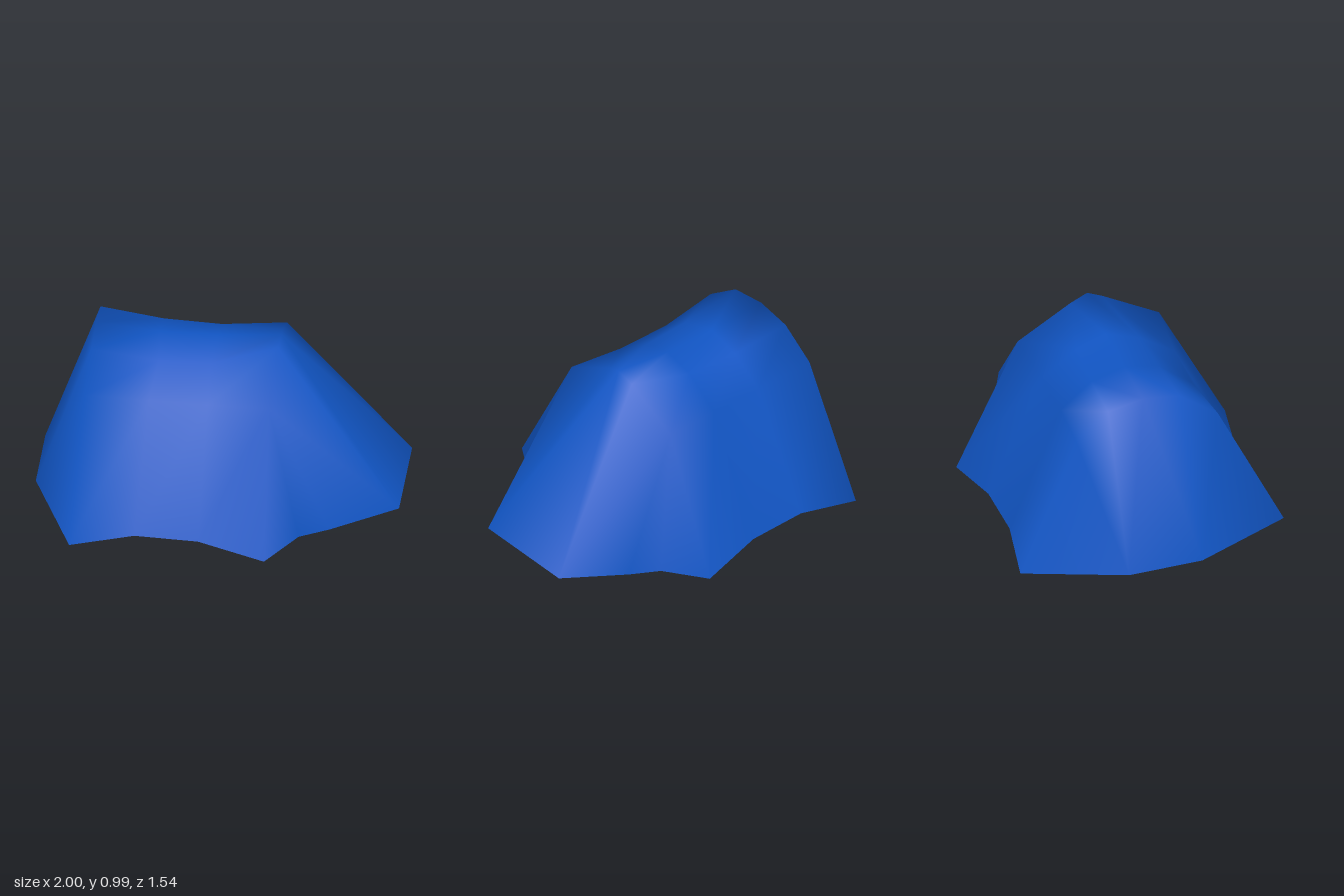
import * as THREE from 'three';

// Cross-sections of the canopy: ground, shoulder, upper, ridge, upper, shoulder, ground
const sections = [
  [[-0.75, 0.04, 0.75], [-0.71, 0.79, 0.385], [-0.7, 0.945, 0.17], [-0.7, 0.97, -0.04], [-0.7, 0.93, -0.24], [-0.71, 0.775, -0.425], [-0.75, 0.005, -0.76]],
  [[-0.4, 0.09, 0.69], [-0.36, 0.765, 0.355], [-0.33, 0.9, 0.17], [-0.35, 0.95, -0.03], [-0.35, 0.895, -0.22], [-0.36, 0.75, -0.4], [-0.4, 0.06, -0.705]],
  [[-0.05, 0.09, 0.7], [-0.04, 0.765, 0.36], [-0.05, 0.9, 0.16], [-0.03, 0.957, -0.03], [-0.04, 0.9, -0.2], [-0.04, 0.75, -0.4], [-0.05, 0.06, -0.71]],
  [[0.32, 0.04, 0.77], [0.3, 0.79, 0.385], [0.31, 0.965, 0.06], [0.32, 0.995, -0.02], [0.31, 0.955, -0.12], [0.3, 0.775, -0.425], [0.32, 0.005, -0.77]],
];
// Hem points of the short end wall and of the porch
const endHem = [[-1, 0.045, 0.2], [-1, 0.04, -0.22]];
const porchHem = [[0.48, 0.045, 0.53], [0.64, 0.05, 0.45], [1, 0.1, 0.28], [1, 0.08, -0.3], [0.64, 0.025, -0.47], [0.48, 0.015, -0.55]];

export function createModel() {
  const group = new THREE.Group();
  const fabric = new THREE.MeshStandardMaterial({ color: 0x1155c4, side: THREE.DoubleSide });
  fabric.name = 'blue fabric';

  const n = sections[0].length;
  const points = [...sections.flat(), ...endHem, ...porchHem];
  const faces = [];

  // Main canopy lofted between the sections
  for (let i = 0; i < sections.length - 1; i++) {
    for (let j = 0; j < n - 1; j++) {
      const a = i * n + j, b = a + n;
      faces.push(a, b, b + 1, a, b + 1, a + 1);
    }
  }

  // Fills between an arch and a hem: 'a' steps along the arch, 'h' along the hem
  const zip = (arch, hem, steps, flip) => {
    for (const step of steps) {
      const next = step === 'a' ? arch + 1 : hem + 1;
      if (flip) faces.push(arch, next, hem);
      else faces.push(arch, hem, next);
      if (step === 'a') arch++;
      else hem++;
    }
  };
  const hemStart = sections.length * n;
  zip(0, hemStart, 'aaahaaa', true); // end wall
  zip(hemStart - n, hemStart + endHem.length, 'ahhaahaahha', false); // porch

  const geometry = new THREE.BufferGeometry();
  geometry.setAttribute('position', new THREE.Float32BufferAttribute(points.flat(), 3));
  geometry.setIndex(faces);
  geometry.computeVertexNormals();

  const canopy = new THREE.Mesh(geometry, fabric);
  canopy.name = 'tentCanopy';
  group.add(canopy);
  return group;
}
